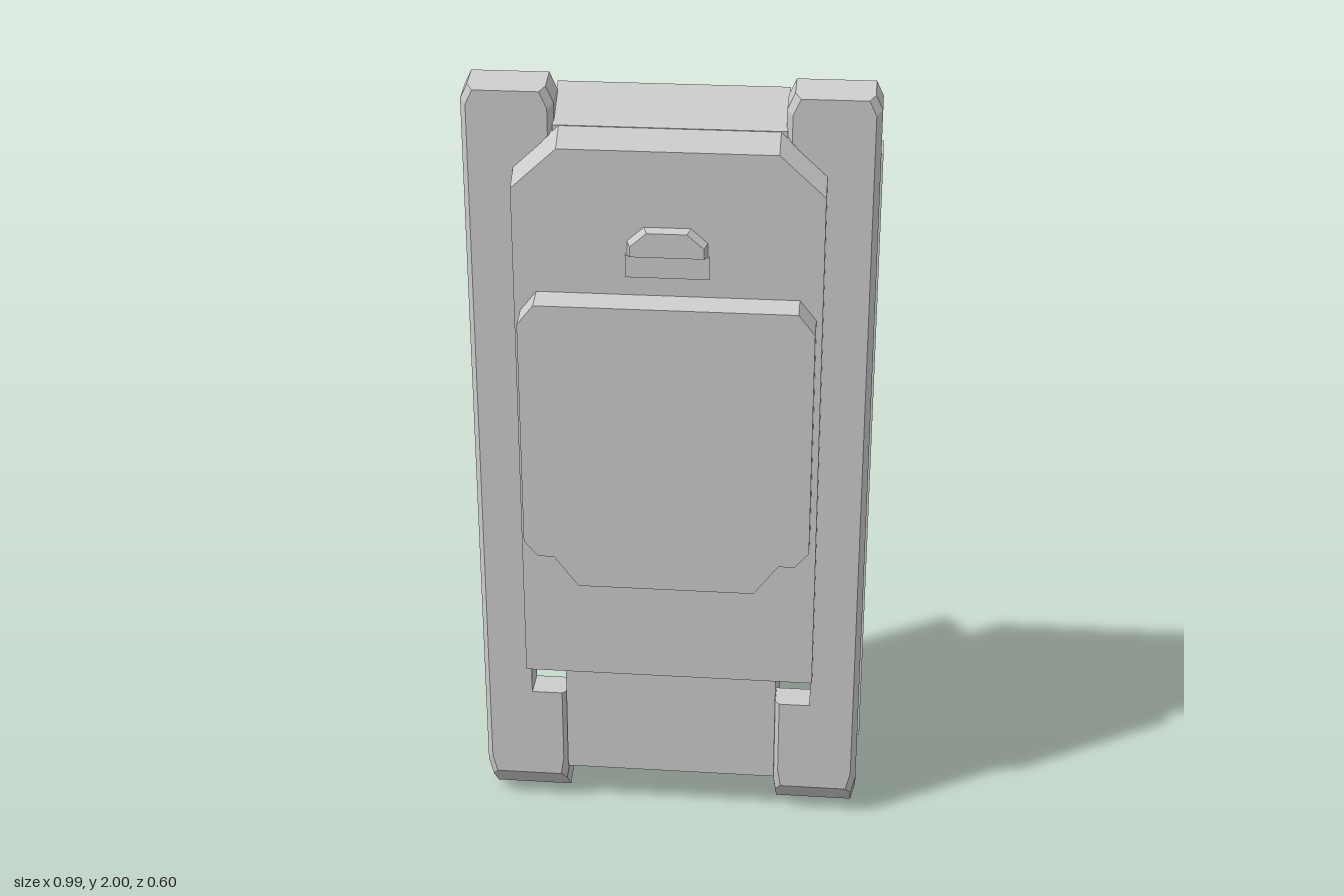
import * as THREE from 'three';

const material = new THREE.MeshStandardMaterial({ color: 0xcccccc, side: THREE.DoubleSide });

// Skin over cross-sections [position, [[a, b], ...]] stacked along an axis.
// Cross-section coordinates: z -> (x, y), x -> (y, z), y -> (z, x).
function loft(axis, sections) {
  const place = {
    x: (a, b, p) => [p, a, b],
    y: (a, b, p) => [b, p, a],
    z: (a, b, p) => [a, b, p],
  }[axis];
  const first = sections[0][1].map(([a, b]) => new THREE.Vector2(a, b));
  const flip = THREE.ShapeUtils.isClockWise(first);
  const rings = sections.map(([p, pts]) => {
    const ring = flip ? [...pts].reverse() : pts;
    return ring.map(([a, b]) => place(a, b, p));
  });
  const out = [];
  const n = first.length;
  for (let r = 0; r + 1 < rings.length; r++) {
    for (let i = 0; i < n; i++) {
      const j = (i + 1) % n, lo = rings[r], hi = rings[r + 1];
      out.push(...lo[i], ...lo[j], ...hi[j], ...lo[i], ...hi[j], ...hi[i]);
    }
  }
  const cap = (section, ring, up) => {
    const pts = (flip ? [...section[1]].reverse() : section[1]).map(([a, b]) => new THREE.Vector2(a, b));
    for (const [a, b, c] of THREE.ShapeUtils.triangulateShape(pts, [])) {
      out.push(...ring[a], ...ring[up ? b : c], ...ring[up ? c : b]);
    }
  };
  cap(sections[0], rings[0], false);
  cap(sections.at(-1), rings.at(-1), true);
  const geo = new THREE.BufferGeometry();
  geo.setAttribute('position', new THREE.Float32BufferAttribute(out, 3));
  geo.computeVertexNormals();
  return geo;
}

const prism = (axis, from, to, pts) => loft(axis, [[from, pts], [to, pts]]);

// Half outline (first coordinate positive) completed by its mirror image in x
const mirrorX = (pts) => [...pts, ...pts.map(([x, y]) => [-x, y]).reverse()];
const mirrorB = (pts) => [...pts, ...pts.map(([z, x]) => [z, -x]).reverse()];

export function createModel() {
  const model = new THREE.Group();
  const add = (name, geo, x = 0, y = 0, z = 0) => {
    const mesh = new THREE.Mesh(geo, material);
    mesh.name = name;
    mesh.position.set(x, y, z);
    model.add(mesh);
    return mesh;
  };
  const box = (name, w, h, d, x, y, z) => add(name, new THREE.BoxGeometry(w, h, d), x, y, z);

  // Central body with sloped ends
  add('body', prism('x', -0.275, 0.275, [
    [1.97, 0.08], [1.69, -0.09], [0.19, -0.09], [0.11, 0.02], [0.11, 0.185], [1.895, 0.185],
  ]));

  // Front plate with cut top corners and bevelled lower edge
  add('frontPlate', loft('z', [
    [0.11, mirrorX([[0.365, 0.385], [0.365, 1.84], [0.26, 1.945]])],
    [0.19, mirrorX([[0.37, 0.418], [0.37, 1.79], [0.26, 1.89]])],
    [0.24, mirrorX([[0.37, 0.44], [0.37, 1.755], [0.26, 1.855]])],
  ]));

  // Raised front pad
  const pad = (top) => mirrorX([
    [0.22, 0.73], [0.28, 0.81], [0.32, 0.81], [0.355, 0.85], [0.355, top - 0.05], [0.315, top],
  ]);
  add('frontPad', loft('z', [[0.23, pad(1.5)], [0.3, pad(1.485)]]));

  // Small slot on the front plate
  const hood = (s, top) => mirrorX([[s, 1.6], [s, top - 0.035], [s - 0.04, top]]);
  add('slotHood', loft('z', [[0.23, hood(0.1, 1.675)], [0.257, hood(0.088, 1.66)]]));
  box('slotLip', 0.2, 0.055, 0.02, 0, 1.573, 0.238);

  // Side rails and thin outer side panels
  for (const s of [1, -1]) {
    const rail = (inset, bottom, top) => [
      [0.28 + inset, bottom], [0.48 - inset, bottom], [0.492 - inset, bottom + 0.05],
      [0.492 - inset, top - 0.035], [0.475 - inset, top], [0.29 + inset, top],
      [0.272 + inset, top - 0.04], [0.272 + inset, 1.87], [0.365, 1.78], [0.365, 0.34], [0.272 + inset, 0.34],
      [0.272 + inset, bottom + 0.05],
    ].map(([x, y]) => [s * x, y]);
    add(s > 0 ? 'leftRail' : 'rightRail', loft('z', [
      [0.11, rail(0, 0, 2)], [0.175, rail(0, 0.065, 1.985)], [0.19, rail(0.014, 0.085, 1.975)],
    ]));
    add(s > 0 ? 'leftSidePanel' : 'rightSidePanel', prism('x', s * 0.491 - 0.006, s * 0.491 + 0.006, [
      [1.82, 0.1], [1.82, 0], [1.76, -0.08], [0.2, -0.085], [0.18, 0], [0.2, 0.1],
    ]));
  }

  // Back mount: wide shoulders at the top, bevelled sides below
  const mountSection = (xIn, zIn, xOut, zOut, zSide) =>
    mirrorB([[zIn, xIn], [zOut, xOut], [zSide, xOut], [0.08, 0.285]]);
  add('backMount', loft('y', [
    [0.62, mountSection(0.2, -0.11, 0.32, -0.04, -0.03)],
    [0.67, mountSection(0.22, -0.178, 0.33, -0.05, -0.04)],
    [0.95, mountSection(0.24, -0.18, 0.33, -0.08, -0.04)],
    [1.24, mountSection(0.25, -0.18, 0.33, -0.18, -0.04)],
    [1.27, mountSection(0.24, -0.18, 0.27, -0.17, -0.04)],
  ]));
  add('mountTab', loft('y', [
    [0.57, mirrorB([[-0.1, 0.09], [-0.07, 0.09]])],
    [0.65, mirrorB([[-0.16, 0.13], [-0.07, 0.13]])],
  ]));

  // Raised top bracket, rising toward the back
  add('mountBracket', prism('x', -0.18, 0.18, [
    [1.2, -0.18], [1.37, -0.18], [1.34, -0.09], [1.2, -0.07],
  ]));
  add('bracketBase', prism('x', -0.245, 0.245, [
    [1.2, -0.178], [1.315, -0.178], [1.285, -0.08], [1.2, -0.07],
  ]));

  // Thin back plate and round dial
  add('backPlate', prism('z', -0.19, -0.175, mirrorX([[0.17, 0.8], [0.2, 0.95], [0.245, 1.25], [0.2, 1.3]])));
  const dial = new THREE.CylinderGeometry(0.22, 0.22, 0.025, 48).rotateX(Math.PI / 2);
  add('dial', dial, 0, 0.985, -0.185);

  // Grip: hood, side posts, angled bar and knob
  add('gripHood', prism('z', -0.235, -0.185, mirrorX([
    [0.195, 1.02], [0.195, 1.15], [0.09, 1.25],
  ])));
  for (const s of [1, -1]) box('gripPost', 0.025, 0.16, 0.05, s * 0.18, 0.97, -0.21);
  add('gripBar', prism('x', -0.172, 0.172, [
    [1.12, -0.225], [1.09, -0.275], [1.06, -0.3], [1.03, -0.292], [0.91, -0.235], [0.92, -0.205], [1.02, -0.2],
  ]));
  add('knob', new THREE.CylinderGeometry(0.042, 0.042, 0.12, 24), 0, 1.26, -0.193);

  return model;
}
